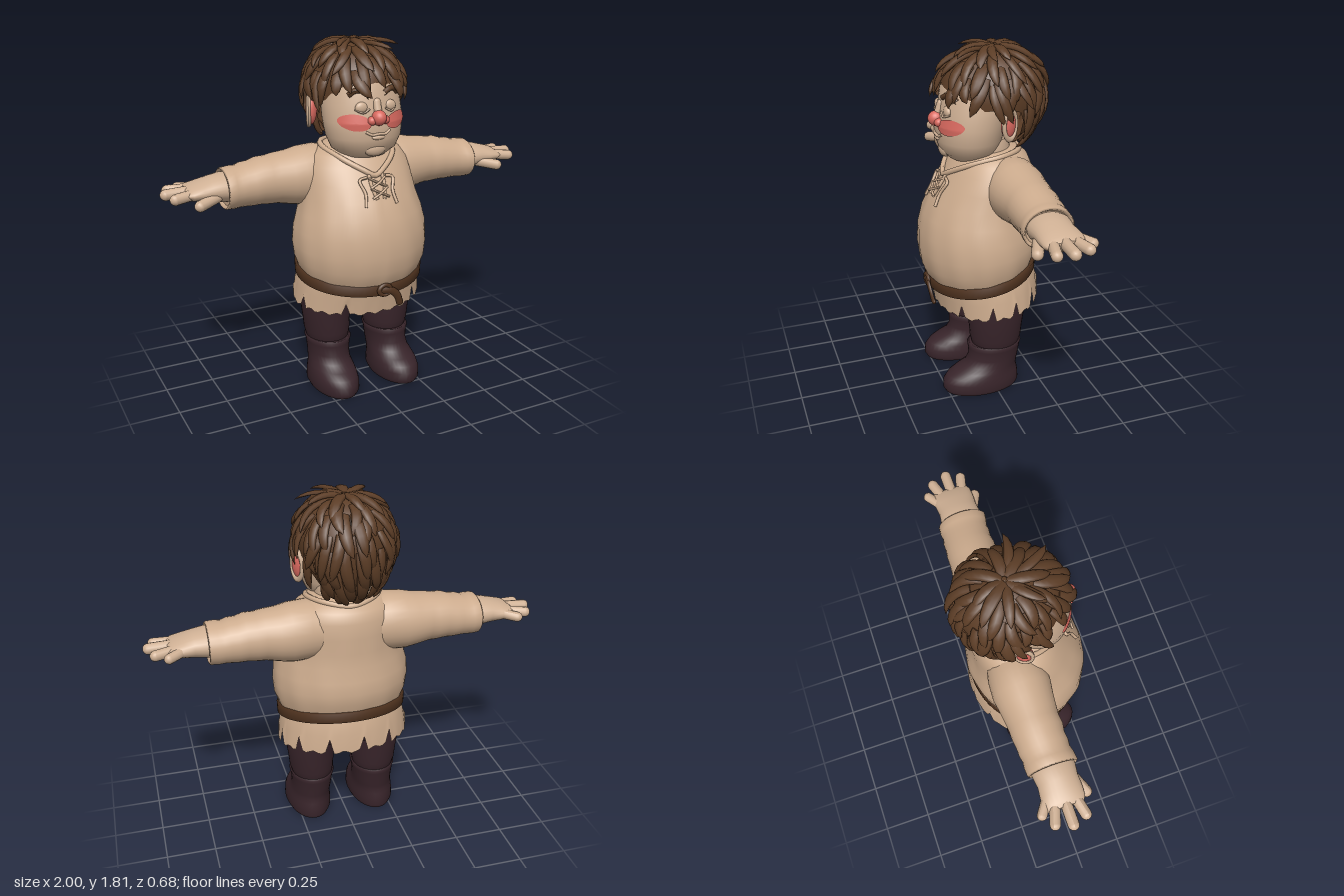
import * as THREE from 'three';
import { mergeGeometries } from 'three/addons/utils/BufferGeometryUtils.js';

const V = (x, y, z) => new THREE.Vector3(x, y, z);
const mat = (name, color) => new THREE.MeshStandardMaterial({ name, color, side: THREE.DoubleSide });

// Closes rows of points into a skin, with separate flat caps at both ends
function skin(rows, caps = true) {
  const n = rows[0].length, pos = [], idx = [];
  rows.forEach(r => r.forEach(p => pos.push(p.x, p.y, p.z)));
  for (let j = 0; j < rows.length - 1; j++)
    for (let i = 0; i < n; i++) {
      const a = j * n + i, b = j * n + (i + 1) % n;
      idx.push(a, b, b + n, a, b + n, a + n);
    }
  if (caps) [rows[0], rows[rows.length - 1]].forEach((r, end) => {
    const c = r.reduce((s, p) => s.add(p), V(0, 0, 0)).divideScalar(n), o = pos.length / 3;
    [c, ...r].forEach(p => pos.push(p.x, p.y, p.z));
    for (let i = 0; i < n; i++) {
      const a = o + 1 + i, b = o + 1 + (i + 1) % n;
      end ? idx.push(o, a, b) : idx.push(o, b, a);
    }
  });
  const g = new THREE.BufferGeometry();
  g.setAttribute('position', new THREE.Float32BufferAttribute(pos, 3));
  g.setIndex(idx);
  g.computeVertexNormals();
  return g;
}
// Elliptical rings [y, cx, cz, rx, rz]
const loft = (rings, seg = 32, caps = true) => skin(rings.map(([y, cx, cz, rx, rz]) =>
  Array.from({ length: seg }, (_, i) => {
    const a = i / seg * Math.PI * 2;
    return V(cx + rx * Math.sin(a), y, cz + rz * Math.cos(a));
  })), caps);
// Profile rows [y, halfWidth, front z, back z]
const rings = rows => rows.map(([y, rx, f, b]) => [y, 0, (f + b) / 2, rx, (f - b) / 2]);
// Front depth of a profile at x, y
function frontZ(rows, x, y) {
  let i = 0;
  while (i < rows.length - 2 && rows[i + 1][0] < y) i++;
  const t = THREE.MathUtils.clamp((y - rows[i][0]) / (rows[i + 1][0] - rows[i][0]), 0, 1);
  const [, rx, f, b] = rows[i].map((v, k) => v + (rows[i + 1][k] - v) * t);
  return (f + b) / 2 + (f - b) / 2 * Math.sqrt(Math.max(0, 1 - (x / rx) ** 2));
}
function reshape(g, rule) {
  const p = g.attributes.position, v = V(0, 0, 0);
  for (let i = 0; i < p.count; i++) {
    rule(v.fromBufferAttribute(p, i), i);
    p.setXYZ(i, v.x, v.y, v.z);
  }
  g.computeVertexNormals();
  return g;
}
function mirror(g) {
  const m = g.clone().scale(-1, 1, 1), a = m.index.array;
  for (let i = 0; i < a.length; i += 3) [a[i], a[i + 1]] = [a[i + 1], a[i]];
  m.computeVertexNormals();
  return m;
}
const ball = (x, y, z, rx, ry, rz) => new THREE.SphereGeometry(1, 24, 16).scale(rx, ry, rz).translate(x, y, z);
const cord = (pts, r, closed = false, n = 24) =>
  new THREE.TubeGeometry(new THREE.CatmullRomCurve3(pts.map(p => V(...p)), closed), n, r, 8, closed);
function limb(a, b, r) {
  const A = V(...a), B = V(...b), d = B.clone().sub(A);
  const q = new THREE.Quaternion().setFromUnitVectors(V(0, 1, 0), d.clone().normalize());
  const m = A.add(B).multiplyScalar(0.5);
  return new THREE.CapsuleGeometry(r, d.length(), 6, 12).applyQuaternion(q).translate(m.x, m.y, m.z);
}

const HEAD = [[1.235, .06, .12, -.02], [1.25, .115, .165, -.05], [1.29, .165, .21, -.08], [1.35, .193, .23, -.1],
  [1.43, .205, .232, -.12], [1.51, .202, .214, -.15], [1.6, .195, .202, -.2], [1.68, .175, .165, -.2],
  [1.74, .12, .1, -.16], [1.77, .03, 0, -.08]];
const TUNIC = [[.475, .347, .25, -.288], [.56, .338, .262, -.28], [.61, .33, .27, -.265], [.645, .322, .275, -.255],
  [.68, .332, .297, -.262], [.73, .35, .32, -.277], [.8, .357, .331, -.285], [.88, .35, .327, -.277], [.96, .328, .305, -.262],
  [1.04, .303, .268, -.256], [1.12, .295, .225, -.256], [1.2, .28, .175, -.25], [1.25, .245, .14, -.23],
  [1.285, .19, .11, -.19], [1.3, .13, .06, -.14]];
// The waist and hem hang lower at the front
const sag = v => { v.y -= v.z * (.09 + .11 * Math.exp(-(((v.y - .645) / .09) ** 2))) * (v.y < .8 ? 1 : Math.max(0, 1 - (v.y - .8) * 6)); };

// Scalp direction rules: theta from the crown, phi from the front
const D = Math.PI / 180;
function hairEnd(phi) {
  const stops = [[0, 82], [35, 90], [60, 104], [85, 103], [108, 108], [125, 150], [180, 158]];
  const p = Math.abs(Math.atan2(Math.sin(phi), Math.cos(phi))) / D;
  let i = 0;
  while (i < stops.length - 2 && stops[i + 1][0] < p) i++;
  const [[a, s], [b, e]] = [stops[i], stops[i + 1]];
  return (s + (e - s) * (p - a) / (b - a)) * D;
}
function scalp(th, phi, k = 1) {
  const s = Math.sin(th), c = Math.cos(th), z = s * Math.cos(phi);
  return V(s * Math.sin(phi) * .225 * k, 1.57 + c * (c > 0 ? .225 : .275) * k, -.07 + z * (z > 0 ? .273 : .232) * k);
}
function lock(t0, t1, phi, turn, w, flare) {
  const C = V(0, 1.57, -.07), rows = [], N = 7;
  const at = t => scalp(t0 + (t1 - t0) * t, phi + turn * t * t, .985 + .1 * Math.sin(t * 2.2) + flare * t * t);
  for (let j = 0; j <= N; j++) {
    const t = j / N, p = at(t), T = at(t + .02).sub(at(t - .02)).normalize();
    const out = p.clone().sub(C).normalize(), side = out.clone().cross(T).normalize(), n = T.clone().cross(side);
    const r = w * (.03 + Math.pow(1 - t, .6) * (.55 + .9 * t));
    rows.push(Array.from({ length: 8 }, (_, k) => {
      const a = k / 8 * Math.PI * 2;
      return p.clone().addScaledVector(side, r * Math.cos(a)).addScaledVector(n, r * .5 * Math.sin(a));
    }));
  }
  return skin(rows);
}

export function createModel() {
  const M = {
    skin: mat('skin', 0xcfb094), cloth: mat('tunic cloth', 0xcdac8e), hair: mat('hair brown', 0x5c3d26),
    belt: mat('belt leather', 0x50331f), boot: mat('dark leather', 0x38242a), flush: mat('rosy flush', 0xd9695f),
  };
  const root = new THREE.Group();
  const add = (name, g, m) => { const o = new THREE.Mesh(g, m); o.name = name; root.add(o); };
  const pair = (name, g, m) => { add(name + 'Left', g, m); add(name + 'Right', mirror(g), m); };

  // Tunic with a torn hem
  const SEG = 96, notches = [11, 20, 27, 34, 42, 50, 57, 69, 76, 88];
  add('tunic', reshape(loft(rings(TUNIC), SEG, false), (v, i) => {
    if (i < SEG) v.y += notches.includes(i) ? .07 : .008 * Math.sin(i * 1.7);
    else if (v.y > .62 && v.y < 1.1) { const k = 1 + .006 * Math.sin(i * .9 + v.y * 30); v.x *= k; v.z *= k; }
    sag(v);
  }), M.cloth);
  add('neck', loft([[1.15, 0, -.03, .13, .12], [1.29, 0, -.02, .145, .125], [1.35, 0, -.02, .13, .11]]), M.skin);
  const zt = (x, y, o = .006) => [x, y, frontZ(TUNIC, x, y) + o];
  add('collar', cord([[0, 1.275, -.195], [.13, 1.29, -.14], [.185, 1.285, -.03], [.14, 1.245, .11], [.05, 1.19, .185],
    [0, 1.165, .2], [-.05, 1.19, .185], [-.14, 1.245, .11], [-.185, 1.285, -.03], [-.13, 1.29, -.14]], .014, true, 60), M.cloth);
  pair('placket', cord([zt(.035, 1.19), zt(.035, 1.12), zt(.02, 1.06)], .009), M.cloth);
  for (const y of [1.09, 1.135]) pair('lacing', cord([zt(-.045, y - .022, .014), zt(0, y, .02), zt(.045, y + .022, .014)], .006), M.cloth);
  pair('hangingLace', cord([zt(.05, 1.16), zt(.09, 1.15, .012), zt(.075, 1.09, .008), zt(.085, 1.03, .008)], .008), M.cloth);

  // Belt with knot and hanging tail
  const band = [[.615, .0], [.618, .016], [.67, .018], [.675, 0]].map(([y, o]) => [y, 0, .01, .325 + o, .268 + o]);
  add('belt', reshape(loft(band, 64, false), sag), M.belt);
  add('beltKnot', new THREE.TorusGeometry(.026, .011, 8, 20).scale(1.2, 1, 1).translate(.005, .592, .3), M.belt);
  add('beltTail', cord([[-.03, 0, 0], [.04, -.008, .014], [.075, -.04, .01], [.095, -.088, -.005]], .02)
    .scale(1, 1, .5).translate(0, .592, .297), M.belt);
  add('beltTip', ball(.096, .504, .292, .02, .016, .01), M.belt);

  // Sleeves and hands, modelled along x
  const along = list => loft(list.map(([x, y, z, ry, rz]) => [x, -y, z, ry, rz]), 28).rotateZ(-Math.PI / 2);
  pair('sleeve', along([[.08, 1.13, -.09, .13, .12], [.2, 1.135, -.09, .152, .145], [.29, 1.13, -.092, .15, .148],
    [.35, 1.128, -.092, .138, .138], [.42, 1.132, -.092, .127, .13], [.46, 1.128, -.092, .123, .126], [.51, 1.13, -.09, .119, .128],
    [.55, 1.122, -.09, .113, .122], [.59, 1.122, -.088, .11, .124], [.62, 1.116, -.086, .104, .119], [.65, 1.116, -.084, .106, .125],
    [.69, 1.115, -.08, .103, .126], [.697, 1.115, -.08, .096, .118], [.68, 1.115, -.08, .085, .108]]), M.cloth);
  pair('hand', along([[.66, 1.122, -.08, .07, .1], [.7, 1.125, -.08, .072, .108], [.76, 1.124, -.08, .062, .1],
    [.81, 1.122, -.082, .05, .104], [.86, 1.12, -.085, .038, .104], [.885, 1.12, -.085, .02, .09]]), M.skin);
  const fingers = [[[.83, 1.12, -.165], [.885, 1.115, -.203], .025], [[.85, 1.122, -.13], [.945, 1.118, -.16], .027],
    [[.86, 1.125, -.08], [.972, 1.12, -.08], .028], [[.85, 1.12, -.03], [.945, 1.112, -.008], .027],
    [[.74, 1.1, -.01], [.84, 1.078, .035], .028]];
  fingers.forEach(([a, b, r], i) => pair(i < 4 ? 'finger' + (i + 1) : 'thumb', limb(a, b, r), M.skin));

  // Trousers and boots
  add('hips', loft([[.47, 0, -.02, .2, .14], [.5, 0, -.02, .3, .19], [.6, 0, 0, .31, .23]]), M.boot);
  pair('trouserLeg', loft([[.22, .172, -.02, .1, .115], [.27, .172, -.02, .112, .13], [.3, .174, -.02, .118, .137],
    [.36, .176, -.02, .122, .142], [.43, .18, -.02, .127, .15], [.55, .18, -.02, .13, .16]]), M.boot);
  pair('boot', loft([[0, .18, .062, .112, .198], [.02, .18, .064, .122, .208], [.06, .18, .064, .12, .206], [.09, .179, .055, .116, .192],
    [.115, .177, .035, .111, .167], [.14, .175, .008, .107, .143], [.18, .173, -.008, .107, .135], [.235, .172, -.012, .113, .14],
    [.256, .172, -.013, .119, .145], [.262, .172, -.013, .108, .135]], 36), M.boot);

  // Head and face
  add('head', loft(rings(HEAD), 48), M.skin);
  const zh = (x, y, o = 0) => [x, y, frontZ(HEAD, x, y) + o];
  add('nose', ball(0, 1.458, .232, .036, .038, .04), M.flush);
  pair('nostril', ball(.034, 1.445, .226, .024, .022, .024), M.flush);
  add('noseBridge', limb([0, 1.48, .222], [0, 1.53, .205], .02), M.skin);
  pair('cheekFlush', reshape(new THREE.RingGeometry(.001, 1, 32, 6), v => {
    v.set(.11 + v.x * .07, 1.437 + v.y * .04 + v.x * .006, 0);
    v.z = frontZ(HEAD, v.x, v.y) + .006;
  }), M.flush);
  pair('closedEye', ball(...zh(.075, 1.507, -.006), .034, .028, .018), M.skin);
  pair('eyelid', cord([zh(.042, 1.5, .004), zh(.075, 1.484, .009), zh(.11, 1.5, .004)], .005), M.skin);
  pair('eyebrow', cord([zh(.038, 1.57, .004), zh(.075, 1.588, .006), zh(.105, 1.586, .006), zh(.13, 1.565, .004)], .014), M.hair);
  add('smile', cord([zh(-.065, 1.392), zh(-.035, 1.377, .003), zh(0, 1.38, .005), zh(.035, 1.377, .003), zh(.065, 1.392)], .007), M.skin);
  add('lowerLip', ball(...zh(0, 1.362, -.002), .035, .012, .012), M.skin);
  add('chin', ball(0, 1.3, .19, .06, .04, .03), M.skin);
  const turned = g => g.rotateY(.45).translate(.225, 1.462, -.06);
  pair('ear', turned(ball(0, 0, 0, .028, .07, .042)), M.flush);
  pair('earRim', turned(new THREE.TorusGeometry(.05, .012, 8, 28).scale(.8, 1.4, 1).rotateY(Math.PI / 2).translate(.012, 0, 0)), M.skin);

  // Hair cap under layered locks
  const cap = Array.from({ length: 15 }, (_, j) => Array.from({ length: 48 }, (_, i) => {
    const phi = i / 48 * Math.PI * 2;
    return scalp((1 - j / 14 * .995) * (hairEnd(phi) - 5 * D), phi);
  }));
  add('hairCap', skin(cap, false), M.hair);
  let seed = 7;
  const rnd = (a, b) => { seed = (seed * 16807) % 2147483647; return a + (b - a) * seed / 2147483647; };
  const locks = [];
  [[4, 8], [24, 13], [44, 18], [64, 21], [84, 22], [104, 20], [122, 18]].forEach(([t, count], row) => {
    for (let i = 0; i < count; i++) {
      const phi = (i + row * .5 + rnd(-.25, .25)) / count * Math.PI * 2, end = hairEnd(phi) + rnd(-6, 9) * D;
      const t0 = (t + rnd(-4, 4)) * D;
      if (end - t0 < 22 * D) continue;
      locks.push(lock(t0, Math.min(t0 + rnd(38, 52) * D, end), phi, rnd(-.25, .3), rnd(.034, .046), rnd(-.02, .12)));
    }
  });
  // Stray tufts at the crown and temples
  [[8, 50, 65, .3], [12, 48, 20, .24], [5, 40, -60, .16], [70, 108, 72, .16], [68, 106, -75, .18], [60, 96, 100, .18], [62, 98, -100, .16]]
    .forEach(([a, b, p, f]) => locks.push(lock(a * D, b * D, p * D, .2, .032, f)));
  add('hairLocks', mergeGeometries(locks), M.hair);
  return root;
}
